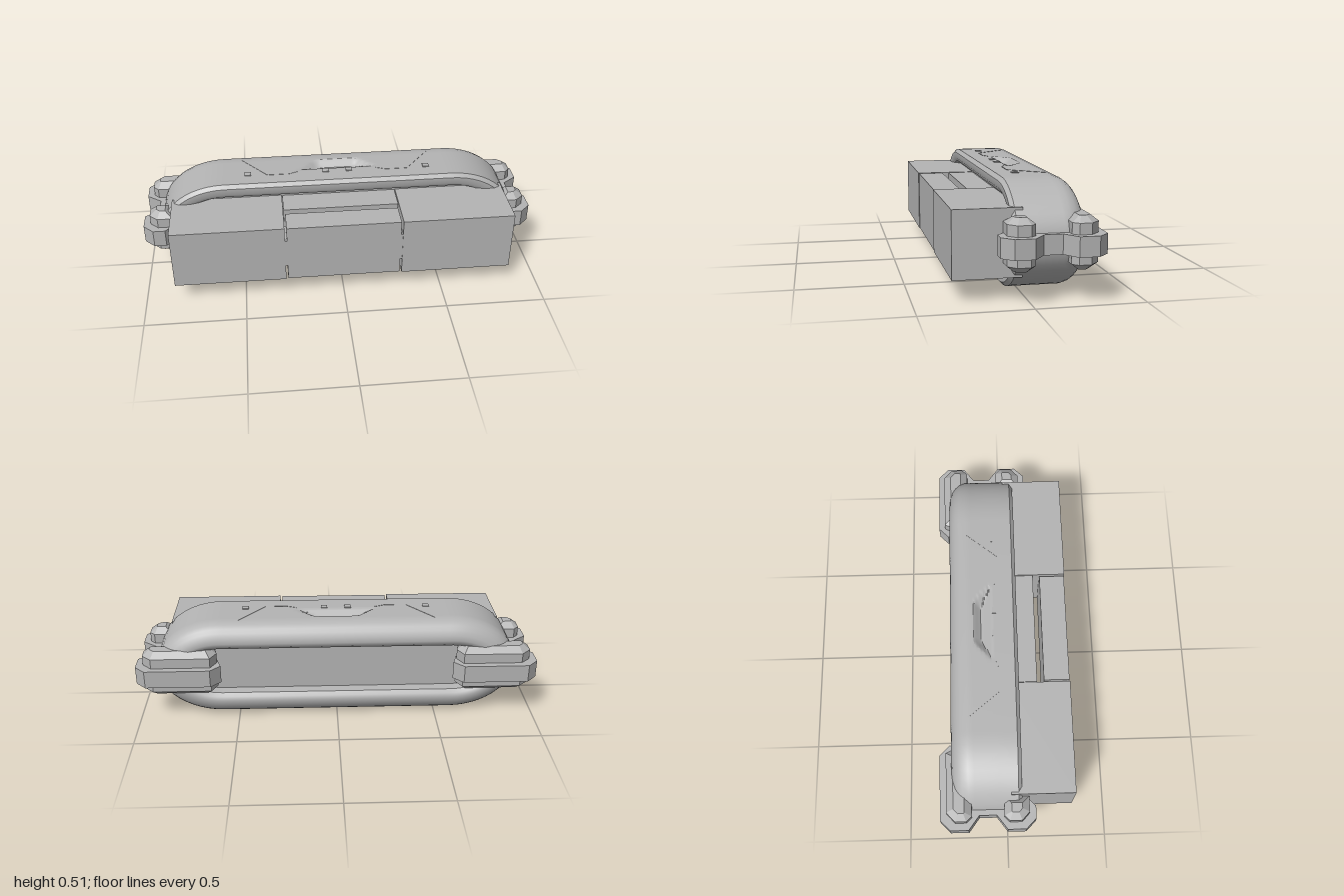
import * as THREE from 'three';
import { toCreasedNormals } from 'three/addons/utils/BufferGeometryUtils.js';

const CY = 0.262; // mid height of the shell

// Closed stadium outline with elliptical ends, shrunk by an inset
function outline(inset) {
  const flat = 0.58, rx = 0.33 - inset, ry = 0.25 - inset, pts = [];
  for (const s of [1, -1]) {
    for (let k = 0; k < 24; k++) {
      const a = -Math.PI / 2 + (k / 24) * Math.PI;
      pts.push([s * (flat + rx * Math.cos(a)), s * ry * Math.sin(a)]);
    }
    for (let k = 0; k < 58; k++) pts.push([s * (flat - k * 0.02), s * ry]);
  }
  return pts;
}

// Depth of the shallow grip dent in the top and bottom of the shell
function dent(x, z) {
  if (z < -0.146 || z > -0.055) return 0;
  const half = 0.11 + (z + 0.146) * 1.0;
  const side = THREE.MathUtils.clamp((half - Math.abs(x)) / 0.05, 0, 1);
  const back = THREE.MathUtils.clamp((z + 0.146) / 0.035, 0, 1);
  const front = THREE.MathUtils.clamp((-0.055 - z) / 0.045, 0, 1);
  return 0.03 * Math.min(side, back, front);
}

// Shell: outline lofted from the recessed back, over the rim, to the front
function shellGeometry() {
  const stations = [[-0.2, 0.13], [-0.245, 0.125], [-0.262, 0.11], [-0.268, 0.09],
    [-0.262, 0.065], [-0.25, 0.04], [-0.235, 0.023], [-0.215, 0.009], [-0.185, 0]];
  for (let z = -0.155; z < -0.04; z += 0.0075) stations.push([z, 0]);
  stations.push([0.055, 0], [0.072, 0.018], [0.072, 0.05], [0.06, 0.07], [0.03, 0.078]);
  const pos = [], idx = [], n = outline(0).length;
  for (const [z, inset] of stations) {
    for (const [x, y] of outline(inset)) {
      pos.push(x, CY + y - Math.sign(y) * dent(x, z), z);
    }
  }
  for (let i = 0; i < stations.length - 1; i++) {
    for (let j = 0; j < n; j++) {
      const a = i * n + j, b = i * n + (j + 1) % n;
      idx.push(a, b, b + n, a, b + n, a + n);
    }
  }
  // back panel and front panel
  const c = stations.length * n, last = c - n;
  pos.push(0, CY, stations[0][0], 0, CY, 0.03);
  for (let j = 0; j < n; j++) {
    const k = (j + 1) % n;
    idx.push(c, k, j, c + 1, last + j, last + k);
  }
  const g = new THREE.BufferGeometry();
  g.setAttribute('position', new THREE.Float32BufferAttribute(pos, 3));
  g.setIndex(idx);
  return toCreasedNormals(g, 0.6);
}

// Plan outline (x, z) extruded upward between two heights, with bevelled edges
function planExtrude(points, y0, y1, size, thick, side) {
  const shape = new THREE.Shape(points.map(([x, z]) => new THREE.Vector2(x * side, z)));
  const g = new THREE.ExtrudeGeometry(shape, {
    depth: y1 - y0 - 2 * thick, bevelEnabled: size > 0, bevelSegments: 1,
    bevelSize: size, bevelOffset: -size, bevelThickness: thick,
  });
  g.rotateX(Math.PI / 2);
  g.translate(0, y1 - thick, 0);
  return g;
}

export function createModel() {
  const model = new THREE.Group();
  model.name = 'mountedCase';
  const grey = new THREE.MeshStandardMaterial({ color: 0xb4b4b4 });
  grey.name = 'grey';

  const add = (name, geometry) => {
    const mesh = new THREE.Mesh(geometry, grey);
    mesh.name = name;
    model.add(mesh);
    return mesh;
  };
  const box = (name, x0, x1, y0, y1, z0, z1) => {
    const mesh = add(name, new THREE.BoxGeometry(x1 - x0, y1 - y0, z1 - z0));
    mesh.position.set((x0 + x1) / 2, (y0 + y1) / 2, (z0 + z1) / 2);
    return mesh;
  };

  add('shell', shellGeometry());

  // Front housing with a slot behind the centre bar
  box('centreBlock', -0.29, 0.29, 0.11, 0.415, 0.02, 0.165);
  box('centreBar', -0.283, 0.283, 0.11, 0.415, 0.2, 0.328);
  for (const s of [-1, 1]) {
    const xa = s > 0 ? 0.293 : -0.85, xb = s > 0 ? 0.85 : -0.293;
    box('sideBlock', xa, xb, 0.108, 0.417, 0.02, 0.331);
    box('barJoint', s * 0.288 - 0.008, s * 0.288 + 0.008, 0.19, 0.34, 0.2, 0.328);
  }

  // Corner clips: a band around each end over bevelled pads
  const band = [[0.58, -0.28], [0.63, -0.33], [0.95, -0.33], [1, -0.28], [1, -0.19],
    [0.93, -0.138], [0.93, -0.053], [1, 0], [1, 0.09], [0.95, 0.14], [0.89, 0.14],
    [0.85, 0.1], [0.84, -0.2], [0.6, -0.22]];
  const backPad = [[0.6, -0.24], [0.63, -0.297], [0.92, -0.297], [0.965, -0.255],
    [0.965, -0.2], [0.94, -0.173], [0.62, -0.173]];
  const frontPad = [[0.85, -0.015], [0.94, -0.015], [0.965, 0.01], [0.965, 0.07],
    [0.925, 0.107], [0.85, 0.107]];
  for (const s of [-1, 1]) {
    add('clipBand', planExtrude(band, 0.22, 0.31, 0, 0, s));
    add('backPad', planExtrude(backPad, 0.15, 0.388, 0.035, 0.028, s));
    add('frontPad', planExtrude(frontPad, 0.15, 0.388, 0.035, 0.028, s));
  }

  // Small square studs and thin trim lines on the top and bottom
  const trim = [[0.49, -0.18], [0.36, -0.02], [0.25, -0.02], [0.2, -0.04]];
  for (const v of [-1, 1]) {
    const y = CY + v * 0.25;
    for (const x of [-0.46, -0.06, 0.06, 0.46]) {
      box('stud', x - 0.016, x + 0.016, y - 0.004, y + 0.004, -0.051, -0.019);
    }
    for (const s of [-1, 1]) {
      for (let i = 0; i < trim.length - 1; i++) {
        const [xa, za] = trim[i], [xb, zb] = trim[i + 1];
        const line = add('trimLine', new THREE.BoxGeometry(Math.hypot(xb - xa, zb - za), 0.003, 0.004));
        line.position.set(s * (xa + xb) / 2, y, (za + zb) / 2);
        line.rotation.y = -Math.atan2(zb - za, s * (xb - xa));
      }
    }
  }
  return model;
}
